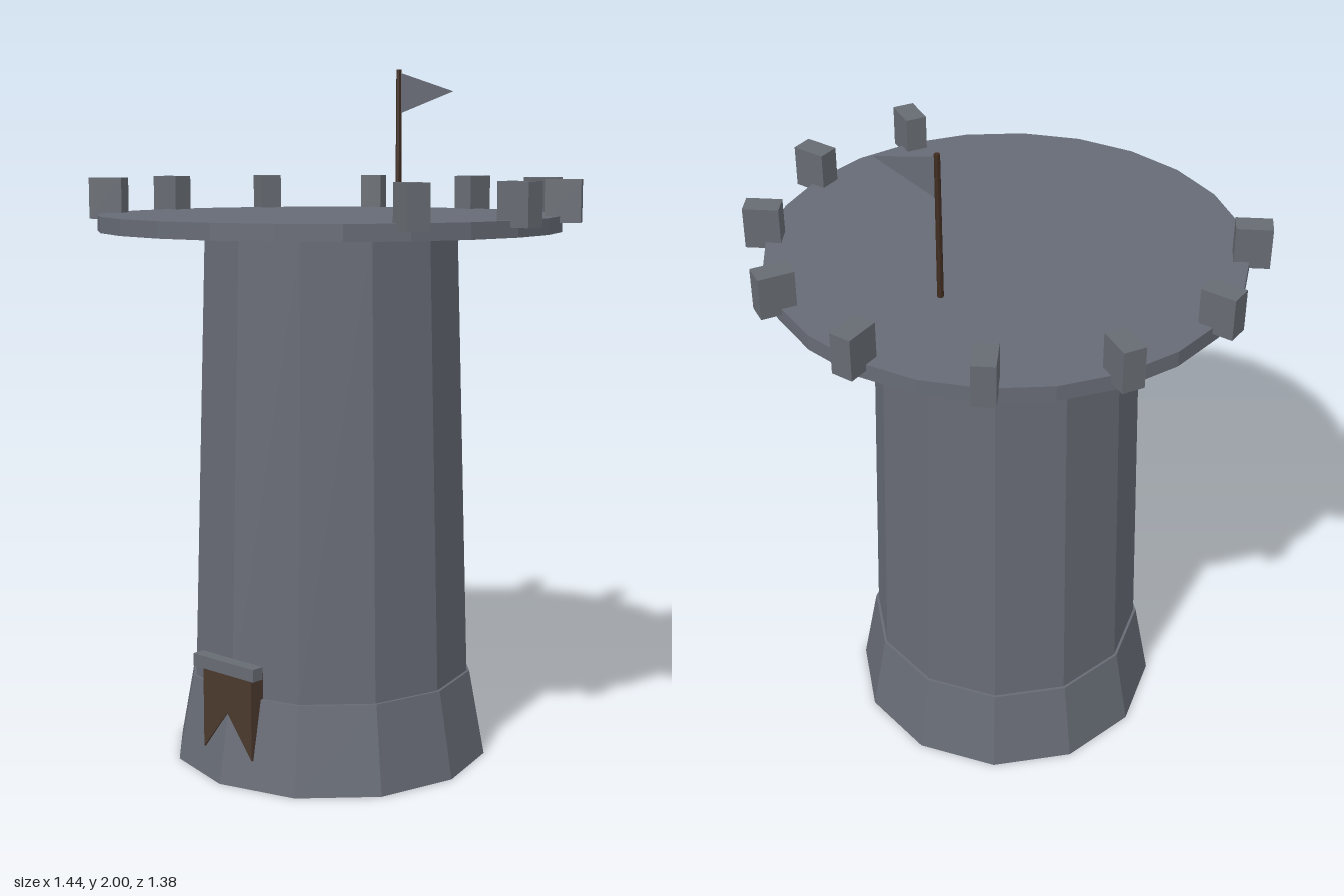
import * as THREE from 'three';

const CZ = 0.027; // tower axis, offset because the front battlements are missing

export function createModel() {
  const model = new THREE.Group();
  model.name = 'watchtower';

  const material = (name, color) => {
    const m = new THREE.MeshStandardMaterial({ color, flatShading: true });
    m.name = name;
    return m;
  };
  const stone = material('stone grey', 0x676b75);
  const paleStone = material('battlement grey', 0x676c73);
  const cloth = material('brown cloth', 0x4b392e);
  const wood = material('dark wood', 0x3f2c20);
  const pennantCloth = material('pennant grey', 0x676b75);
  pennantCloth.side = THREE.DoubleSide;

  const add = (name, geometry, mat, x, y, z, parent = model) => {
    const mesh = new THREE.Mesh(geometry, mat);
    mesh.name = name;
    mesh.position.set(x, y, z);
    parent.add(mesh);
    return mesh;
  };
  // Upright cylinder between two heights
  const column = (name, rTop, rBottom, y0, y1, sides, mat, z = CZ) =>
    add(name, new THREE.CylinderGeometry(rTop, rBottom, y1 - y0, sides), mat, 0, (y0 + y1) / 2, z);

  // Tower body
  column('flaredBase', 0.418, 0.464, 0, 0.25, 12, stone);
  column('shaft', 0.37, 0.41, 0.25, 1.54, 12, stone);
  column('platform', 0.665, 0.665, 1.537, 1.582, 24, stone);

  // Battlements every 30 degrees round the rim, leaving a gap at the front
  const battlements = new THREE.Group();
  battlements.name = 'battlements';
  battlements.position.z = CZ;
  model.add(battlements);
  const merlonGeometry = new THREE.BoxGeometry(0.063, 0.12, 0.1);
  for (let i = -4; i <= 4; i++) {
    const a = Math.PI + (i * Math.PI) / 6;
    const merlon = add('merlon', merlonGeometry, paleStone,
      Math.sin(a) * 0.668, 1.624, Math.cos(a) * 0.668, battlements);
    merlon.rotation.y = a;
  }

  // Swallow-tailed banner hung from a rail on the front wall
  const banner = new THREE.Shape([
    new THREE.Vector2(-0.095, 0.325),
    new THREE.Vector2(-0.095, 0.08),
    new THREE.Vector2(0, 0.2),
    new THREE.Vector2(0.095, 0.08),
    new THREE.Vector2(0.095, 0.325),
  ]);
  add('banner', new THREE.ExtrudeGeometry(banner, { depth: 0.052, bevelEnabled: false }),
    cloth, 0, 0, 0.406);
  add('bannerRail', new THREE.BoxGeometry(0.238, 0.036, 0.038), paleStone, 0, 0.335, 0.455);

  // Flagpole and triangular pennant
  column('flagpole', 0.008, 0.009, 1.57, 2, 8, wood, -0.278);
  const pennant = new THREE.Shape([
    new THREE.Vector2(0, 1.87),
    new THREE.Vector2(0.205, 1.932),
    new THREE.Vector2(0, 1.992),
  ]);
  add('pennant', new THREE.ShapeGeometry(pennant), pennantCloth, 0, 0, -0.278);

  return model;
}
